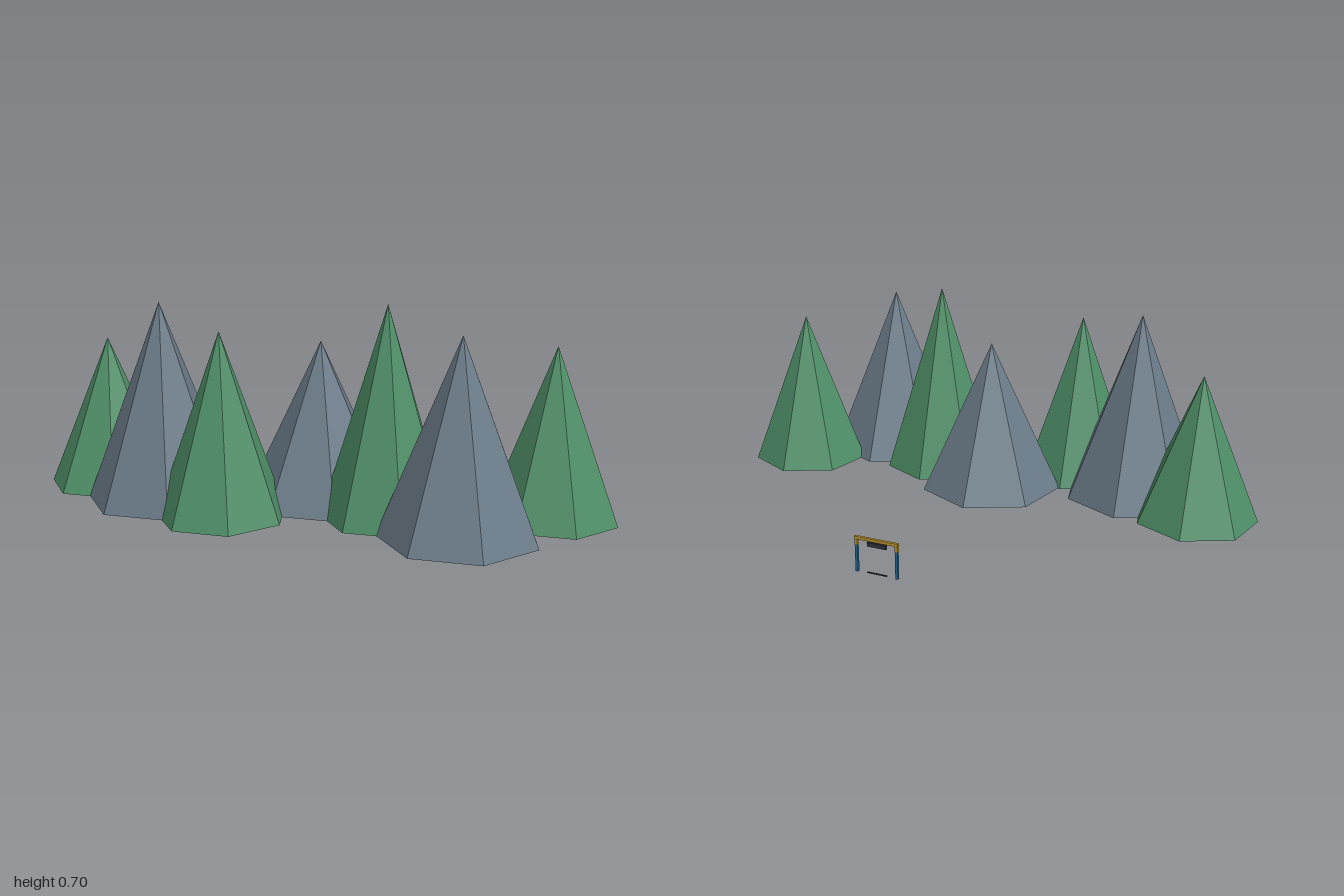
import * as THREE from 'three';

const flat = (name, color) => {
  const m = new THREE.MeshStandardMaterial({ color, flatShading: true });
  m.name = name;
  return m;
};

export function createModel() {
  const green = flat('forest green', 0x4f8f68);
  const slate = flat('slate grey', 0x6a7b88);
  const blue = flat('post blue', 0x27658f);
  const gold = flat('gold', 0xb8932f);
  const dark = flat('dark grey', 0x2e3238);
  const model = new THREE.Group();

  // Seven-sided peaks: x, z, height; green ones are slimmer
  const peaks = [
    [-0.786, 0.21, 0.525], [-0.525, 0.345, 0.68], [-0.262, 0.475, 0.613],
    [0, 0.21, 0.55], [0.262, 0.345, 0.703], [0.525, 0.475, 0.636], [0.786, 0.21, 0.57],
  ];
  peaks.forEach(([x, z, h], i) => {
    const rocky = i % 2 === 1;
    const peak = new THREE.Mesh(
      new THREE.ConeGeometry(rocky ? 0.262 : 0.22, h, 7), rocky ? slate : green);
    peak.name = rocky ? 'greyPeak' : 'greenPeak';
    peak.position.set(x, h / 2, z);
    peak.rotation.y = Math.PI; // one corner points to the back
    model.add(peak);
  });

  // Small floating gate behind the peaks
  const gate = new THREE.Group();
  gate.name = 'gate';
  gate.position.z = -0.708;
  const box = (name, material, w, h, d, x, y, z = 0) => {
    const mesh = new THREE.Mesh(new THREE.BoxGeometry(w, h, d), material);
    mesh.name = name;
    mesh.position.set(x, y, z);
    gate.add(mesh);
  };
  for (const s of [-1, 1]) {
    box('gatePost', blue, 0.009, 0.093, 0.009, s * 0.07, 0.0865);
    box('postCap', gold, 0.01, 0.018, 0.01, s * 0.07, 0.142);
  }
  box('topBeam', gold, 0.152, 0.01, 0.009, 0, 0.156);
  box('hangingSign', dark, 0.066, 0.014, 0.008, 0, 0.139, 0.002);
  box('bottomBar', dark, 0.07, 0.003, 0.005, 0, 0.042);
  model.add(gate);

  return model;
}
